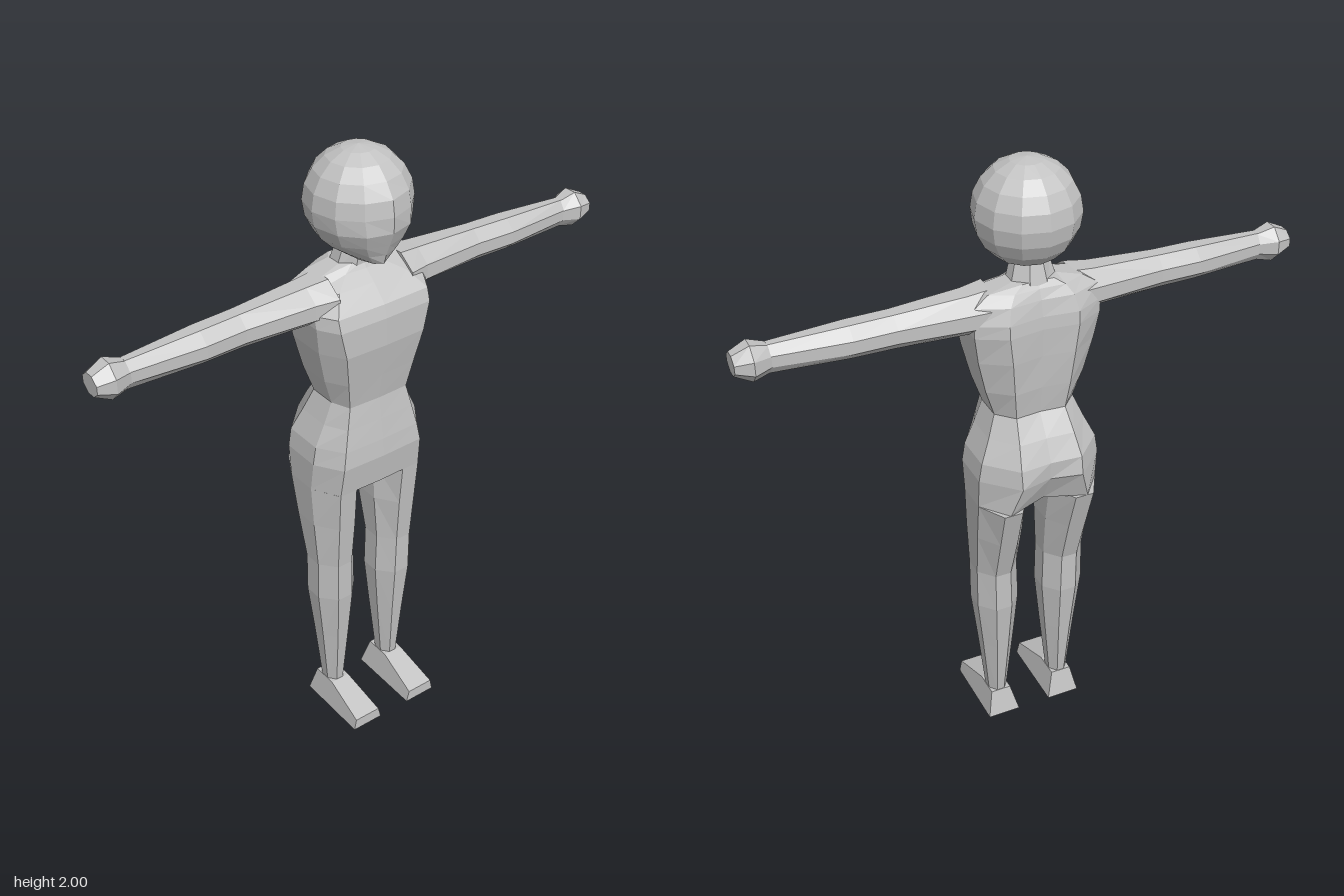
import * as THREE from 'three';

const skin = new THREE.MeshStandardMaterial({ color: 0xc2c2c2, flatShading: true });
skin.name = 'light grey';

// Closed skin through rings of [x, y, z] points, faces turned outward.
function loft(name, rings) {
  const tris = [];
  const n = rings[0].length;
  for (let r = 0; r < rings.length - 1; r++) {
    for (let i = 0; i < n; i++) {
      const j = (i + 1) % n;
      const [a, b, c, d] = [rings[r][i], rings[r][j], rings[r + 1][j], rings[r + 1][i]];
      tris.push([a, b, c], [a, c, d]);
    }
  }
  const cap = (ring, flip) => {
    const mid = [0, 1, 2].map(k => ring.reduce((s, p) => s + p[k], 0) / n);
    ring.forEach((p, i) => {
      const q = ring[(i + 1) % n];
      tris.push(flip ? [mid, q, p] : [mid, p, q]);
    });
  };
  cap(rings[0], true);
  cap(rings[rings.length - 1], false);
  const v = p => new THREE.Vector3(...p);
  const volume = tris.reduce((s, [a, b, c]) => s + v(a).dot(v(b).cross(v(c))), 0);
  if (volume < 0) tris.forEach(t => t.reverse());
  const g = new THREE.BufferGeometry();
  g.setAttribute('position', new THREE.Float32BufferAttribute(tris.flat(2), 3));
  g.computeVertexNormals();
  const mesh = new THREE.Mesh(g, skin);
  mesh.name = name;
  return mesh;
}

// Octagon: a box from (u0, v0) to (u1, v1) with cut corners.
function octagon(u0, u1, v0, v1, cut = 0.31) {
  const du = (u1 - u0) * cut, dv = (v1 - v0) * cut;
  return [
    [u0 + du, v1], [u1 - du, v1], [u1, v1 - dv], [u1, v0 + dv],
    [u1 - du, v0], [u0 + du, v0], [u0, v0 + dv], [u0, v1 - dv],
  ];
}

// Torso levels: y, front edge x, front z, half width, side front z,
// side back z, back edge x, back z, back z on the spine
const TORSO = [
  [0.92, 0.15, 0.112, 0.200, 0.025, -0.08, 0.13, -0.168, -0.12],
  [1.02, 0.145, 0.125, 0.200, 0.04, -0.09, 0.10, -0.190, -0.168],
  [1.08, 0.135, 0.120, 0.190, 0.04, -0.09, 0.10, -0.180, -0.172],
  [1.15, 0.12, 0.110, 0.158, 0.04, -0.07, 0.09, -0.145, -0.14],
  [1.22, 0.105, 0.100, 0.130, 0.04, -0.05, 0.08, -0.102, -0.095],
  [1.31, 0.12, 0.115, 0.160, 0.05, -0.06, 0.09, -0.115, -0.105],
  [1.42, 0.14, 0.134, 0.186, 0.06, -0.07, 0.10, -0.125, -0.11],
  [1.51, 0.16, 0.134, 0.200, 0.07, -0.08, 0.11, -0.128, -0.113],
  [1.55, 0.16, 0.122, 0.200, 0.06, -0.08, 0.11, -0.125, -0.11],
  [1.60, 0.12, 0.072, 0.195, 0.03, -0.07, 0.10, -0.110, -0.10],
  [1.63, 0.07, 0.035, 0.150, 0.01, -0.06, 0.08, -0.092, -0.088],
  [1.65, 0.04, 0.022, 0.070, 0.00, -0.05, 0.05, -0.078, -0.075],
];

function torso() {
  return loft('torso', TORSO.map(([y, xf, zf, w, sf, sb, xb, zb, zc]) => {
    const half = [[xf, y, zf], [w, y, sf], [w, y, sb], [xb, y, zb]];
    const other = half.map(([x, h, z]) => [-x, h, z]).reverse();
    return [[0, y, zf + 0.004], ...half, [0, y, zc], ...other];
  }));
}

// Leg levels: y, inner x, outer x, back z, front z
const LEG = [
  [0.92, 0.040, 0.200, -0.168, 0.112],
  [0.78, 0.040, 0.195, -0.125, 0.100],
  [0.62, 0.048, 0.186, -0.076, 0.086],
  [0.48, 0.044, 0.186, -0.076, 0.084],
  [0.30, 0.060, 0.166, -0.057, 0.066],
  [0.085, 0.081, 0.145, -0.035, 0.045],
];

// Arm levels: x, bottom y, top y, back z, front z
const ARM = [
  [0.13, 1.50, 1.634, -0.095, 0.090],
  [0.20, 1.503, 1.626, -0.084, 0.072],
  [0.42, 1.507, 1.614, -0.060, 0.052],
  [0.55, 1.507, 1.611, -0.058, 0.056],
  [0.78, 1.512, 1.601, -0.028, 0.036],
];
const HAND = [
  [0.775, 1.514, 1.599, -0.028, 0.036],
  [0.83, 1.502, 1.616, -0.052, 0.058],
  [0.882, 1.528, 1.592, -0.034, 0.044],
];

// Foot sections from heel to toe: bottom z, top z, top y, top inner x, top outer x
const FOOT = [
  [-0.06, -0.037, 0.09, 0.079, 0.147],
  [0.047, 0.047, 0.09, 0.079, 0.147],
  [0.2, 0.2, 0.04, 0.066, 0.158],
];

function addLimbs(group, side, s) {
  const across = ([x, y0, y1, z0, z1]) => octagon(y0, y1, z0, z1).map(([y, z]) => [s * x, y, z]);
  group.add(
    loft(side + 'Leg', LEG.map(([y, x0, x1, z0, z1]) =>
      octagon(x0, x1, z0, z1).map(([x, z]) => [s * x, y, z]))),
    loft(side + 'Foot', FOOT.map(([zb, zt, h, x0, x1]) =>
      [[s * 0.056, 0, zb], [s * 0.166, 0, zb], [s * x1, h, zt], [s * x0, h, zt]])),
    loft(side + 'Arm', ARM.map(across)),
    loft(side + 'Hand', HAND.map(across)),
  );
}

// Ball head whose lower front is drawn out into a nose and a flat jaw
function head() {
  const R = 0.16, Y = 1.84;
  const g = new THREE.SphereGeometry(R, 12, 10);
  const p = g.attributes.position;
  for (let i = 0; i < p.count; i++) {
    const x = p.getX(i), z = p.getZ(i);
    let y = p.getY(i) + Y, nz = z;
    const r = Math.hypot(x, z);
    if (r > 0.01 && z > 0.001) {
      const c = z / r;
      const t = THREE.MathUtils.clamp((1.80 - y) / 0.12, 0, 1);
      if (y < 1.80) nz = Math.max(z, c * (0.168 - 0.05 * t));
      else if (y < 1.93 && c > 0.99) nz = z + 0.006;
      if (y < 1.70) y = 1.68;
    }
    p.setXYZ(i, x, y, nz);
  }
  g.computeVertexNormals();
  const mesh = new THREE.Mesh(g, skin);
  mesh.name = 'head';
  return mesh;
}

export function createModel() {
  const model = new THREE.Group();
  model.name = 'figure';
  model.add(torso(), head());
  // Neck
  model.add(loft('neck', [[1.63, 0.074, -0.085, 0.03], [1.70, 0.054, -0.066, 0.03]].map(
    ([y, w, z0, z1]) => octagon(-w, w, z0, z1).map(([x, z]) => [x, y, z]))));
  addLimbs(model, 'left', 1);
  addLimbs(model, 'right', -1);
  return model;
}
